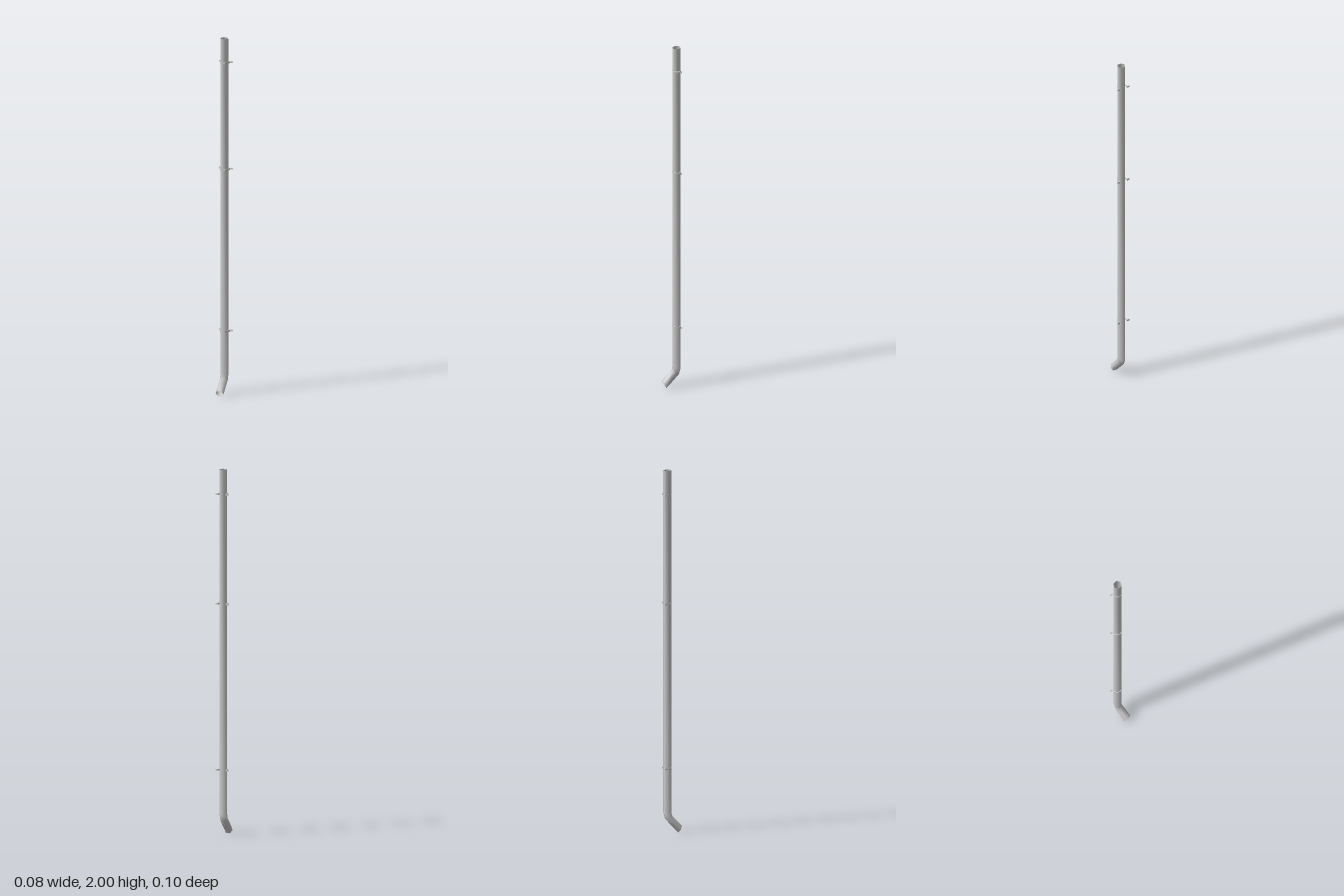
import * as THREE from 'three';

const SIDES = 6, RADIUS = 0.023;

// Six-sided open pipe swept through sections of [z, y, tilt in degrees]
function pipeGeometry(sections) {
  const pos = [], index = [];
  sections.forEach(([z, y, tilt], i) => {
    const t = THREE.MathUtils.degToRad(tilt);
    for (let k = 0; k < SIDES; k++) {
      const a = (k / SIDES) * Math.PI * 2;
      const w = RADIUS * Math.sin(a);
      pos.push(RADIUS * Math.cos(a), y + w * Math.sin(t), z + w * Math.cos(t));
      if (i === 0) continue;
      const n = (k + 1) % SIDES, up = (i - 1) * SIDES, lo = i * SIDES;
      index.push(up + k, up + n, lo + k, up + n, lo + n, lo + k);
    }
  });
  const g = new THREE.BufferGeometry();
  g.setAttribute('position', new THREE.Float32BufferAttribute(pos, 3));
  g.setIndex(index);
  g.computeVertexNormals();
  return g;
}

// Strap bent round the front of the pipe, with a fixing tab on each side
function bracketGeometry(height) {
  const outer = [[0.038, -0.0475], [0.0265, -0.0475], [0.0265, -0.03], [0.021, -0.0165], [0.0135, -0.0085], [0, -0.0075]];
  const inner = [[0, -0.0105], [0.012, -0.0105], [0.0185, -0.0185], [0.0235, -0.03], [0.0235, -0.051], [0.038, -0.051]];
  const mirror = (pts) => pts.map(([x, z]) => [-x, z]).reverse();
  const outline = [...outer, ...mirror(outer).slice(1), ...mirror(inner), ...inner.slice(1)];
  const shape = new THREE.Shape(outline.map(([x, z]) => new THREE.Vector2(x, z)));
  const g = new THREE.ExtrudeGeometry(shape, { depth: height, bevelEnabled: false });
  g.translate(0, 0, -height / 2);
  g.rotateX(Math.PI / 2);
  return g;
}

export function createModel() {
  const model = new THREE.Group();
  model.name = 'downspout';

  // Straight pipe with the outlet bent forward at the bottom
  const pipe = new THREE.Mesh(
    pipeGeometry([
      [-0.03, 2, 0],
      [-0.03, 0.112, 6],
      [-0.022, 0.083, 27],
      [0.003, 0.057, 46],
      [0.04, 0.0173, 60],
    ]),
    new THREE.MeshStandardMaterial({ color: 0xcccccc, side: THREE.DoubleSide })
  );
  pipe.name = 'pipe';
  model.add(pipe);

  // Wall brackets
  const strap = bracketGeometry(0.009);
  const metal = new THREE.MeshStandardMaterial({ color: 0xcccccc });
  [0.355, 1.265, 1.865].forEach((y, i) => {
    const bracket = new THREE.Mesh(strap, metal);
    bracket.name = `wallBracket${i + 1}`;
    bracket.position.y = y;
    model.add(bracket);
  });

  return model;
}
